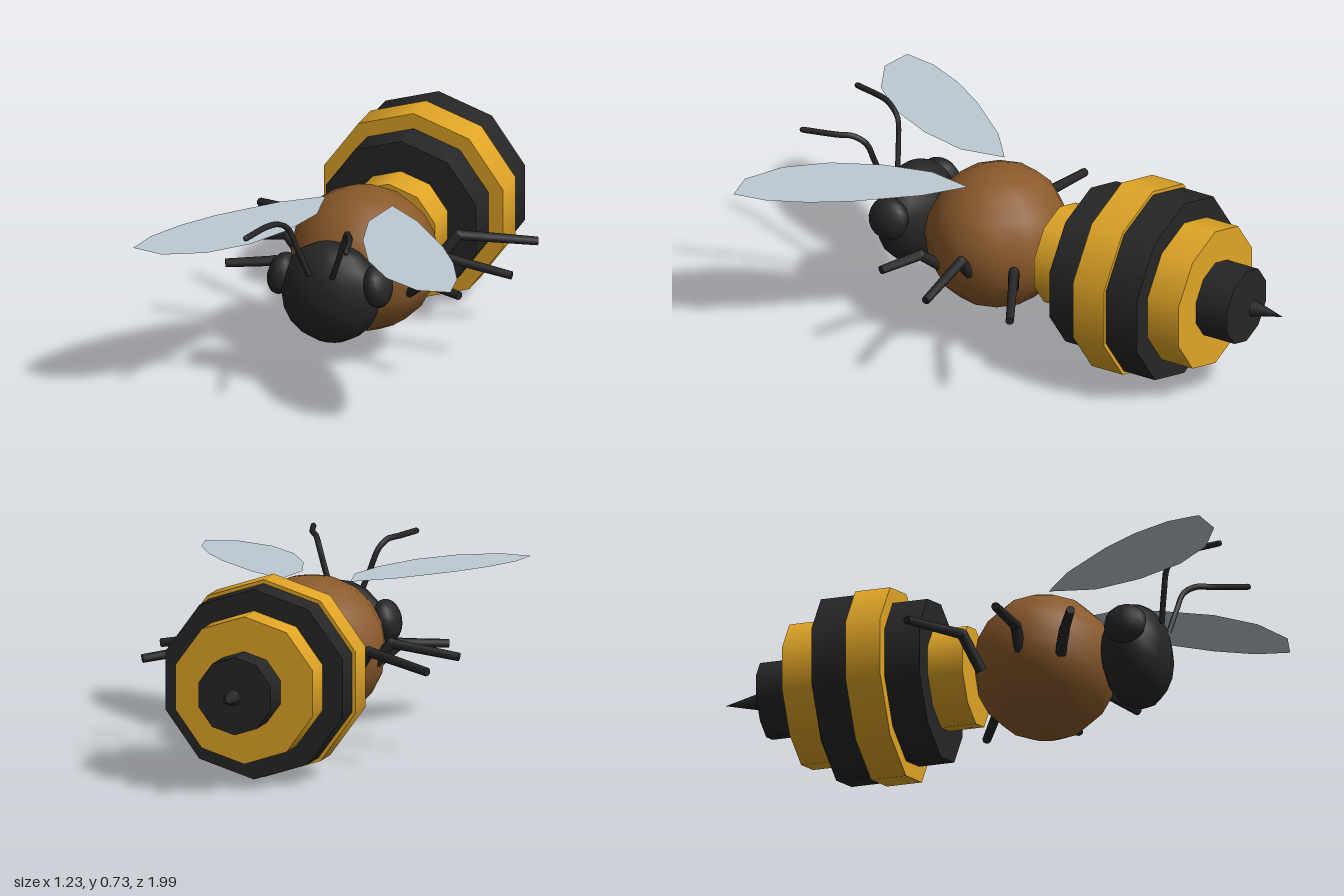
import * as THREE from 'three';

const material = (color) => new THREE.MeshStandardMaterial({ color });
const black = material(0x262626);
const yellow = material(0xe0a526);
const brown = material(0x8b5a2b);
const wingMaterial = material(0xbccad2);
wingMaterial.side = THREE.DoubleSide;

const MID_Y = 0.367; // height of the body axis
const v = (p, side = 1) => new THREE.Vector3(p[0] * side, p[1], p[2]);

function add(parent, name, geometry, mat) {
  const mesh = new THREE.Mesh(geometry, mat);
  mesh.name = name;
  parent.add(mesh);
  return mesh;
}

function ellipsoid(parent, name, radii, position, mat) {
  const mesh = add(parent, name, new THREE.SphereGeometry(1, 12, 10), mat);
  mesh.scale.set(...radii);
  mesh.position.set(...position);
  return mesh;
}

// Tapered cylinder between two points
function limb(parent, name, a, b, ra, rb) {
  const mesh = add(parent, name, new THREE.CylinderGeometry(rb, ra, a.distanceTo(b), 8), black);
  mesh.position.copy(a).lerp(b, 0.5);
  mesh.quaternion.setFromUnitVectors(new THREE.Vector3(0, 1, 0), b.clone().sub(a).normalize());
}

export function createModel() {
  const bee = new THREE.Group();
  bee.name = 'bee';

  ellipsoid(bee, 'thorax', [0.278, 0.27, 0.265], [0, 0.37, 0.21], brown);
  ellipsoid(bee, 'head', [0.192, 0.194, 0.13], [0, 0.37, 0.56], black);

  // Striped abdomen: stepped ten-sided discs, corner at the top
  const abdomen = new THREE.Group();
  abdomen.name = 'abdomen';
  bee.add(abdomen);
  [0.19, 0.307, 0.366, 0.352, 0.273, 0.144].forEach((r, i) => {
    const disc = new THREE.CylinderGeometry(r, r, 0.132, 10).rotateX(-Math.PI / 2);
    const ring = add(abdomen, `abdomenRing${i + 1}`, disc, i % 2 ? black : yellow);
    ring.position.set(0, MID_Y, -0.118 - i * 0.1325);
  });

  // Stinger, set just behind the last ring
  const stinger = add(bee, 'stinger', new THREE.ConeGeometry(0.032, 0.125, 8).rotateX(-Math.PI / 2), black);
  stinger.position.set(0, MID_Y, -0.9375);

  // Leg joints on the left side: hip, knee, foot
  const legs = {
    front: [[0.22, 0.31, 0.33], [0.29, 0.375, 0.365], [0.455, 0.37, 0.435]],
    middle: [[0.24, 0.32, 0.185], [0.305, 0.405, 0.185], [0.565, 0.367, 0.18]],
    rear: [[0.2, 0.29, 0.025], [0.28, 0.408, -0.025], [0.54, 0.367, -0.163]],
  };

  // Wing outline seen from above, as x and z pairs
  const wingOutline = [
    [0.13, 0.26], [0.27, 0.37], [0.44, 0.565], [0.53, 0.7], [0.596, 0.84], [0.617, 0.966],
    [0.496, 0.99], [0.35, 0.918], [0.23, 0.786], [0.143, 0.607], [0.1, 0.43],
  ];

  const antennaPath = [
    [0.045, 0.47, 0.665], [0.085, 0.58, 0.685], [0.113, 0.66, 0.705],
    [0.137, 0.69, 0.75], [0.16, 0.693, 0.79], [0.195, 0.693, 0.925],
  ];

  for (const side of [1, -1]) {
    const label = side > 0 ? 'left' : 'right';

    const eye = ellipsoid(bee, `${label}Eye`, [0.052, 0.08, 0.08], [0.185 * side, 0.42, 0.565], black);
    eye.rotation.z = 0.2 * side;

    // Antenna with a rounded tip
    const curve = new THREE.CatmullRomCurve3(antennaPath.map((p) => v(p, side)));
    add(bee, `${label}Antenna`, new THREE.TubeGeometry(curve, 20, 0.011, 6), black);
    const tip = add(bee, `${label}AntennaTip`, new THREE.SphereGeometry(0.011, 6, 4), black);
    tip.position.copy(v(antennaPath.at(-1), side));

    // Two-part legs with a ball at the knee
    for (const [key, joints] of Object.entries(legs)) {
      const leg = new THREE.Group();
      leg.name = `${label}${key[0].toUpperCase()}${key.slice(1)}Leg`;
      bee.add(leg);
      const [hip, knee, foot] = joints.map((p) => v(p, side));
      limb(leg, 'upperLeg', hip, knee, 0.021, 0.021);
      limb(leg, 'lowerLeg', knee, foot, 0.019, 0.016);
      add(leg, 'knee', new THREE.SphereGeometry(0.021, 8, 6), black).position.copy(knee);
    }

    // Flat horizontal wing; shape y becomes -z, so the top faces up
    const shape = new THREE.Shape(wingOutline.map(([x, z]) => new THREE.Vector2(x * side, -z)));
    const wing = add(bee, `${label}Wing`, new THREE.ShapeGeometry(shape).rotateX(-Math.PI / 2), wingMaterial);
    wing.position.y = 0.612;
  }
  return bee;
}
